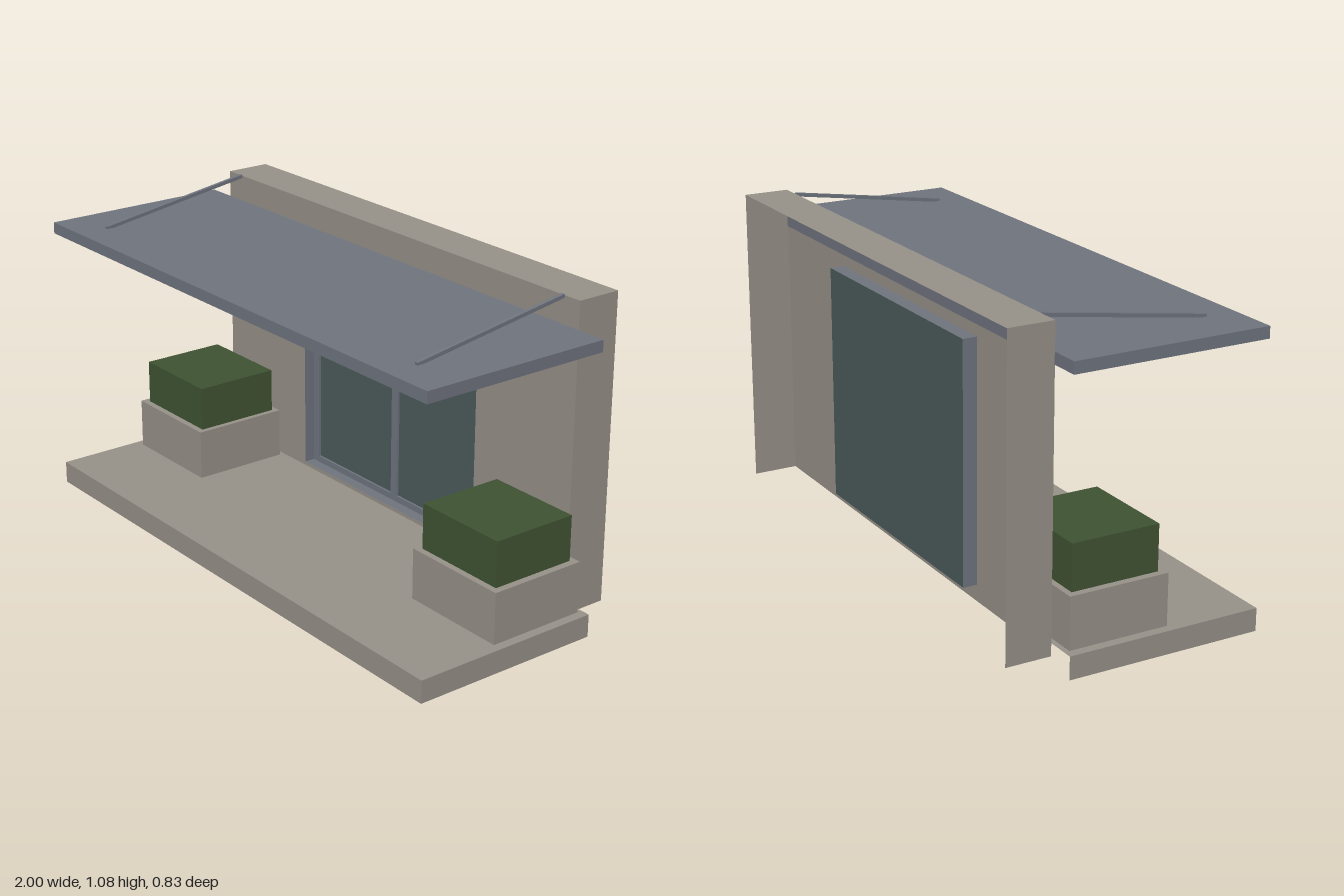
import * as THREE from 'three';

const mat = (name, color, side = THREE.DoubleSide) => {
  const m = new THREE.MeshStandardMaterial({ color, side });
  m.name = name;
  return m;
};

export function createModel() {
  const stone = mat('warm stone', 0x98938a);
  const metal = mat('blue grey metal', 0x70757f);
  const glass = mat('dark glass', 0x4b5c5b);
  const leaf = mat('hedge green', 0x405433);

  const model = new THREE.Group();
  model.name = 'terraceFront';

  const add = (name, geo, material, parent = model) => {
    const mesh = new THREE.Mesh(geo, material);
    mesh.name = name;
    parent.add(mesh);
    return mesh;
  };
  const group = (name) => {
    const g = new THREE.Group();
    g.name = name;
    model.add(g);
    return g;
  };
  // Solid block given by its limits on each axis
  const block = (name, material, [x0, x1], [y0, y1], [z0, z1], parent) => {
    const geo = new THREE.BoxGeometry(x1 - x0, y1 - y0, z1 - z0);
    geo.translate((x0 + x1) / 2, (y0 + y1) / 2, (z0 + z1) / 2);
    return add(name, geo, material, parent);
  };
  // Thin sheets facing up, sideways and forwards
  const flat = (name, material, w, y, z0, z1, parent) =>
    add(name, new THREE.PlaneGeometry(2 * w, z1 - z0).rotateX(-Math.PI / 2)
      .translate(0, y, (z0 + z1) / 2), material, parent);
  const sides = (name, material, w, y0, y1, z0, z1, out, parent) => {
    for (const s of [-1, 1]) {
      add(name, new THREE.PlaneGeometry(z1 - z0, y1 - y0).rotateY(s * out * Math.PI / 2)
        .translate(s * w, (y0 + y1) / 2, (z0 + z1) / 2), material, parent);
    }
  };
  const upright = (name, material, w, y0, y1, z, parent) =>
    add(name, new THREE.PlaneGeometry(2 * w, y1 - y0)
      .translate(0, (y0 + y1) / 2, z), material, parent);

  const wallZ = -0.257, backZ = -0.414, frontZ = 0.416;
  const door = { w: 0.453, y0: 0.09, y1: 0.902, z: -0.306 };

  // Terrace slab, hollow below and behind
  const slab = group('terrace');
  flat('terraceTop', stone, 1, 0.077, wallZ, frontZ, slab);
  sides('terraceSide', stone, 1, 0, 0.077, wallZ, frontZ, 1, slab);
  upright('terraceFrontEdge', stone, 1, 0, 0.077, frontZ, slab);

  // Wall shell with a door opening, open at the back
  const wall = group('wall');
  const rect = (T, x0, y0, x1, y1) => {
    const p = new T();
    p.moveTo(x0, y0).lineTo(x1, y0).lineTo(x1, y1).lineTo(x0, y1).closePath();
    return p;
  };
  const face = rect(THREE.Shape, -0.897, 0.034, 0.897, 1.072);
  face.holes.push(rect(THREE.Path, -door.w, door.y0, door.w, door.y1));
  add('wallFace', new THREE.ShapeGeometry(face).translate(0, 0, wallZ), stone, wall);
  flat('wallTop', stone, 0.897, 1.072, backZ, wallZ, wall);
  sides('wallReturn', stone, 0.897, 0.034, 1.072, backZ, wallZ, 1, wall);

  // Recessed glass door: reveal, glass and frame with a centre post
  const doors = group('door');
  sides('doorReveal', metal, door.w, door.y0, door.y1, door.z, wallZ, -1, doors);
  flat('doorSill', metal, door.w, door.y0, door.z, wallZ, doors);
  flat('doorHead', metal, door.w, door.y1, door.z, wallZ, doors);
  upright('doorGlass', glass, door.w, door.y0, door.y1, door.z, doors);
  const frame = rect(THREE.Shape, -door.w, door.y0, door.w, door.y1);
  frame.holes.push(rect(THREE.Path, -0.423, 0.112, -0.016, 0.872));
  frame.holes.push(rect(THREE.Path, 0.016, 0.112, 0.423, 0.872));
  add('doorFrame', new THREE.ExtrudeGeometry(frame, { depth: 0.008, bevelEnabled: false })
    .translate(0, 0, door.z + 0.002), metal, doors);

  // Canopy
  block('canopy', metal, [-1, 1], [0.941, 0.98], [wallZ - 0.001, frontZ]);

  for (const s of [-1, 1]) {
    // Sloping canopy stay
    const z1 = 0.31, y0 = 1.07, y1 = 0.982;
    const stay = add('canopyStay',
      new THREE.BoxGeometry(0.012, 0.012, Math.hypot(z1 - wallZ, y0 - y1)), metal);
    stay.position.set(s * 0.826, (y0 + y1) / 2, (z1 + wallZ) / 2);
    stay.rotation.x = Math.atan2(y0 - y1, z1 - wallZ);

    // Planter with a clipped hedge
    const planter = group(s > 0 ? 'leftPlanter' : 'rightPlanter');
    const span = (a, b) => (s > 0 ? [a, b] : [-b, -a]);
    block('pot', stone, span(0.585, 0.968), [0.077, 0.251], [-0.239, 0.106], planter);
    block('hedge', leaf, span(0.604, 0.944), [0.251, 0.405], [-0.219, 0.084], planter);
  }

  return model;
}
